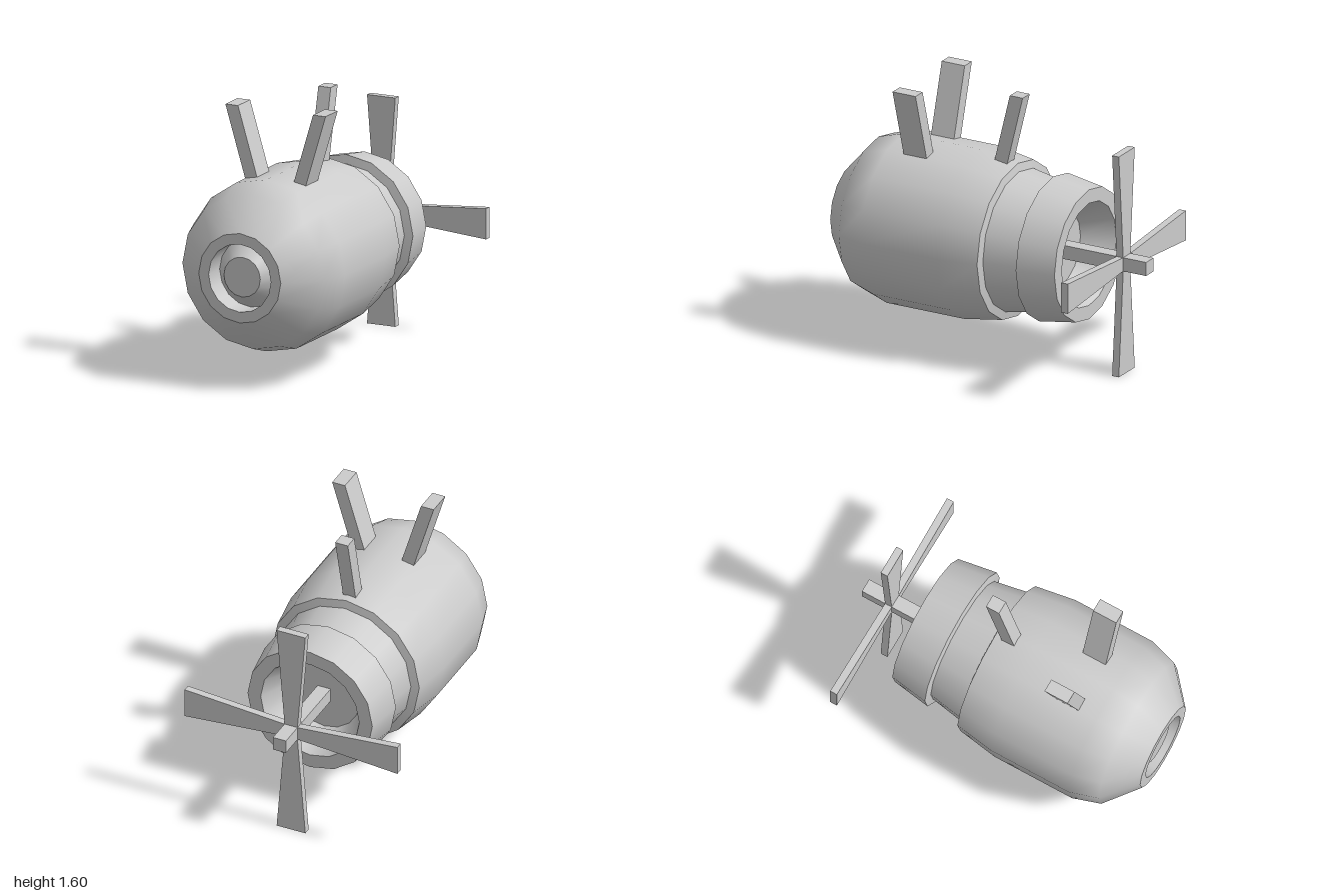
import * as THREE from 'three';

const AXIS_Y = 0.69;
const material = new THREE.MeshStandardMaterial({ color: 0xcccccc });

function addMesh(parent, name, geometry) {
  const mesh = new THREE.Mesh(geometry, material);
  mesh.name = name;
  parent.add(mesh);
  return mesh;
}

// 16-sided smooth surface of revolution around z, from [z, radius] points
function turned(points) {
  const profile = points.map(([z, r]) => new THREE.Vector2(r, z));
  return new THREE.LatheGeometry(profile, 16).rotateX(Math.PI / 2);
}

// Upright bar whose top leans by (leanX, leanZ) relative to its foot
function leaningBar(width, depth, bottom, top, leanX, leanZ) {
  const height = top - bottom;
  const geometry = new THREE.BoxGeometry(width, height, depth);
  const p = geometry.attributes.position;
  for (let i = 0; i < p.count; i++) {
    const t = p.getY(i) / height + 0.5;
    p.setXYZ(i, p.getX(i) + leanX * t, p.getY(i) + bottom + height / 2, p.getZ(i) + leanZ * t);
  }
  geometry.computeVertexNormals();
  return geometry;
}

export function createModel() {
  const model = new THREE.Group();
  model.name = 'propellerCapsule';

  // Hull: separate bands keep the edges between them sharp
  const hull = new THREE.Group();
  hull.name = 'hull';
  hull.position.y = AXIS_Y;
  model.add(hull);
  const bands = {
    rearCavityFloor: [[-0.4, 0], [-0.4, 0.23]],
    rearCavityWall: [[-0.4, 0.23], [-0.59, 0.32]],
    rearRim: [[-0.59, 0.32], [-0.59, 0.405]],
    rearCollar: [[-0.59, 0.405], [-0.35, 0.442]],
    rearCollarStep: [[-0.35, 0.442], [-0.34, 0.39]],
    neck: [[-0.34, 0.39], [-0.12, 0.428]],
    bodyStep: [[-0.12, 0.428], [-0.11, 0.478]],
    body: [[-0.11, 0.478], [0.14, 0.517], [0.66, 0.517], [0.83, 0.465], [1, 0.27]],
    frontRim: [[1, 0.27], [1, 0.205]],
    frontHoleWall: [[1, 0.205], [0.86, 0.205]],
    lensCone: [[0.86, 0.205], [0.97, 0.12]],
    lensFace: [[0.97, 0.12], [0.97, 0]],
  };
  for (const [name, points] of Object.entries(bands)) addMesh(hull, name, turned(points));

  // Three fins on top: a splayed pair and one swept back
  for (const side of [-1, 1]) {
    const fin = addMesh(model, side > 0 ? 'leftFin' : 'rightFin',
      leaningBar(0.083, 0.155, 1.16, 1.6, side * 0.132, 0));
    fin.position.set(side * 0.156, 0, 0.468);
  }
  addMesh(model, 'rearFin', leaningBar(0.082, 0.087, 1.16, 1.6, 0, -0.107))
    .position.set(0, 0, -0.016);

  // Square shaft and four tapered blades
  const propeller = new THREE.Group();
  propeller.name = 'propeller';
  propeller.position.y = AXIS_Y;
  model.add(propeller);
  addMesh(propeller, 'shaft', new THREE.BoxGeometry(0.085, 0.085, 0.61)).position.z = -0.695;
  const outline = new THREE.Shape([
    new THREE.Vector2(-0.04, 0.02), new THREE.Vector2(0.04, 0.02),
    new THREE.Vector2(0.093, AXIS_Y), new THREE.Vector2(-0.093, AXIS_Y),
  ]);
  const bladeGeometry = new THREE.ExtrudeGeometry(outline, { depth: 0.045, bevelEnabled: false });
  for (let i = 0; i < 4; i++) {
    const blade = addMesh(propeller, 'blade', bladeGeometry);
    blade.position.z = -0.845;
    blade.rotation.z = i * Math.PI / 2;
  }

  return model;
}
